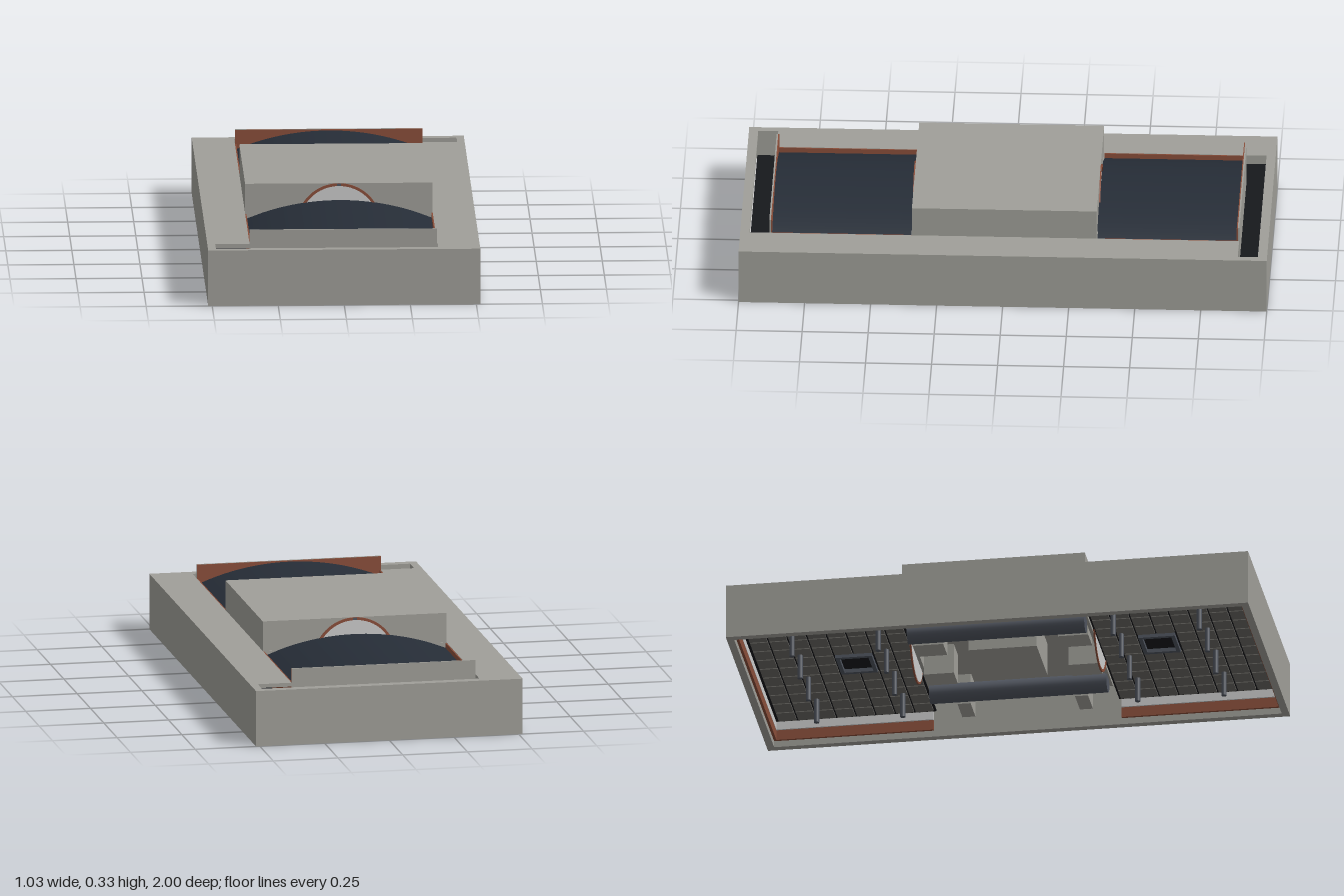
import * as THREE from 'three';

const mat = (color) => new THREE.MeshStandardMaterial({ color, side: THREE.DoubleSide });
const stone = mat(0xa09f99), brick = mat(0x8a4e3a), dark = mat(0x262d37);
const white = mat(0xf4f4f2), pipeGrey = mat(0x50555f), tileGrey = mat(0x6a6864), black = mat(0x16181c);

function add(parent, name, geometry, material, x = 0, y = 0, z = 0) {
  const mesh = new THREE.Mesh(geometry, material);
  mesh.name = name;
  mesh.position.set(x, y, z);
  parent.add(mesh);
  return mesh;
}

// Box given by its lower and upper corners
function box(parent, name, material, x0, x1, y0, y1, z0, z1) {
  return add(parent, name, new THREE.BoxGeometry(x1 - x0, y1 - y0, z1 - z0), material,
    (x0 + x1) / 2, (y0 + y1) / 2, (z0 + z1) / 2);
}

function rectangle(target, x0, x1, z0, z1) {
  target.moveTo(x0, -z0);
  target.lineTo(x1, -z0);
  target.lineTo(x1, -z1);
  target.lineTo(x0, -z1);
  target.closePath();
  return target;
}

// Horizontal plate with rectangular holes
function plate(parent, name, material, y0, y1, outline, holes) {
  const shape = rectangle(new THREE.Shape(), ...outline);
  shape.holes = holes.map((h) => rectangle(new THREE.Path(), ...h));
  const geometry = new THREE.ExtrudeGeometry(shape, { depth: y1 - y0, bevelEnabled: false });
  geometry.rotateX(-Math.PI / 2);
  return add(parent, name, geometry, material, 0, y0, 0);
}

// Shallow vaulted panel
function vault(parent) {
  const half = 0.35, edge = 0.195, peak = 0.265, rise = peak - edge;
  const r = (half * half + rise * rise) / (2 * rise), a = Math.asin(half / r), t = 0.012;
  const shape = new THREE.Shape();
  shape.absarc(0, peak - r, r, Math.PI / 2 - a, Math.PI / 2 + a, false);
  shape.absarc(0, peak - r, r - t, Math.PI / 2 + a, Math.PI / 2 - a, true);
  const geometry = new THREE.ExtrudeGeometry(shape, { depth: 0.53, bevelEnabled: false, curveSegments: 32 });
  add(parent, 'vaultedPanel', geometry, dark, 0, 0, 0.35);
}

// Everything that belongs to one end of the model
function createEnd() {
  const end = new THREE.Group();
  end.name = 'endSection';
  vault(end);

  // Upright slab behind the slot, brick on its inner face
  box(end, 'endSlab', stone, -0.355, 0.355, 0.11, 0.27, 0.884, 0.89);
  box(end, 'endSlabLining', brick, -0.355, 0.355, 0.11, 0.269, 0.88, 0.884);
  for (const s of [-1, 1]) {
    box(end, 'openingLining', brick, s * 0.353 - 0.003, s * 0.353 + 0.003, 0.11, 0.214, 0.35, 0.885);
  }

  // Round window with its brick arch
  const disc = new THREE.CylinderGeometry(0.152, 0.152, 0.004, 48).rotateX(Math.PI / 2);
  add(end, 'roundWindow', disc, white, 0, 0.17, 0.35);
  const ring = new THREE.Shape().absarc(0, 0, 0.16, 0, Math.PI * 2, false);
  ring.holes.push(new THREE.Path().absarc(0, 0, 0.15, 0, Math.PI * 2, true));
  add(end, 'windowArch', new THREE.ExtrudeGeometry(ring, { depth: 0.006, bevelEnabled: false, curveSegments: 32 }),
    brick, 0, 0.17, 0.349);
  box(end, 'keystone', pipeGrey, -0.008, 0.008, 0.32, 0.329, 0.35, 0.356);

  // Tiled ceiling below, with a hatch
  box(end, 'ceilingPlate', black, -0.485, 0.485, 0.105, 0.112, 0.35, 0.968);
  const nx = 12, nz = 8, w = 0.95 / nx, d = 0.6 / nz;
  for (let i = 0; i < nx; i++) {
    for (let j = 0; j < nz; j++) {
      const x = -0.475 + (i + 0.5) * w, z = 0.355 + (j + 0.5) * d;
      if (Math.abs(x) < w && (j === 2 || j === 3)) continue;
      add(end, 'ceilingTile', new THREE.BoxGeometry(w - 0.007, 0.006, d - 0.007), tileGrey, x, 0.102, z);
    }
  }
  plate(end, 'hatchFrame', pipeGrey, 0.09, 0.105, [-0.075, 0.075, 0.51, 0.65], [[-0.06, 0.06, 0.525, 0.635]]);

  // Hanging posts
  for (const x of [-0.3, -0.1, 0.1, 0.3]) {
    for (const z of [0.45, 0.78]) {
      add(end, 'post', new THREE.CylinderGeometry(0.01, 0.01, 0.1, 12), pipeGrey, x, 0.053, z);
    }
  }

  // Bands along the inside of the walls
  for (const [material, y0, y1] of [[brick, 0.025, 0.065], [white, 0.068, 0.1]]) {
    box(end, 'endBand', material, -0.485, 0.485, y0, y1, 0.962, 0.972);
    for (const s of [-1, 1]) {
      box(end, 'sideBand', material, s * 0.481 - 0.005, s * 0.481 + 0.005, y0, y1, 0.36, 0.965);
    }
  }

  // Partition closing off the middle chamber, and its corner blocks
  box(end, 'partition', stone, -0.355, 0.355, 0.1, 0.205, 0.335, 0.347);
  for (const s of [-1, 1]) {
    box(end, 'cornerBlock', stone, s * 0.42 - 0.06, s * 0.42 + 0.06, 0.07, 0.205, 0.2, 0.25);
    box(end, 'innerBlock', stone, s * 0.13 - 0.05, s * 0.13 + 0.05, 0.07, 0.205, 0.22, 0.335);
  }
  return end;
}

export function createModel() {
  const model = new THREE.Group();
  model.name = 'model';

  // Open-bottomed outer wall
  plate(model, 'outerWall', stone, 0, 0.2, [-0.515, 0.515, -1, 1], [[-0.486, 0.486, -0.972, 0.972]]);

  // Lid with panel openings and end slots
  plate(model, 'lid', stone, 0.2, 0.215, [-0.515, 0.515, -1, 1], [
    [-0.355, 0.355, 0.352, 0.884], [-0.355, 0.355, -0.884, -0.352],
    [-0.485, 0.355, 0.889, 0.965], [-0.355, 0.485, -0.965, -0.889],
  ]);

  // Raised middle block
  box(model, 'middleBlock', stone, -0.355, 0.355, 0.19, 0.33, -0.35, 0.35);

  // Middle chamber seen from below
  box(model, 'hangingBox', stone, -0.13, 0.13, 0.06, 0.19, -0.13, 0.13);
  for (const s of [-1, 1]) {
    const pipe = new THREE.CylinderGeometry(0.037, 0.037, 0.68, 24).rotateX(Math.PI / 2);
    add(model, 'pipe', pipe, pipeGrey, s * 0.27, 0.075, 0);
  }

  // Both ends match under a half turn
  for (const angle of [0, Math.PI]) {
    const end = createEnd();
    end.rotation.y = angle;
    model.add(end);
  }
  return model;
}
